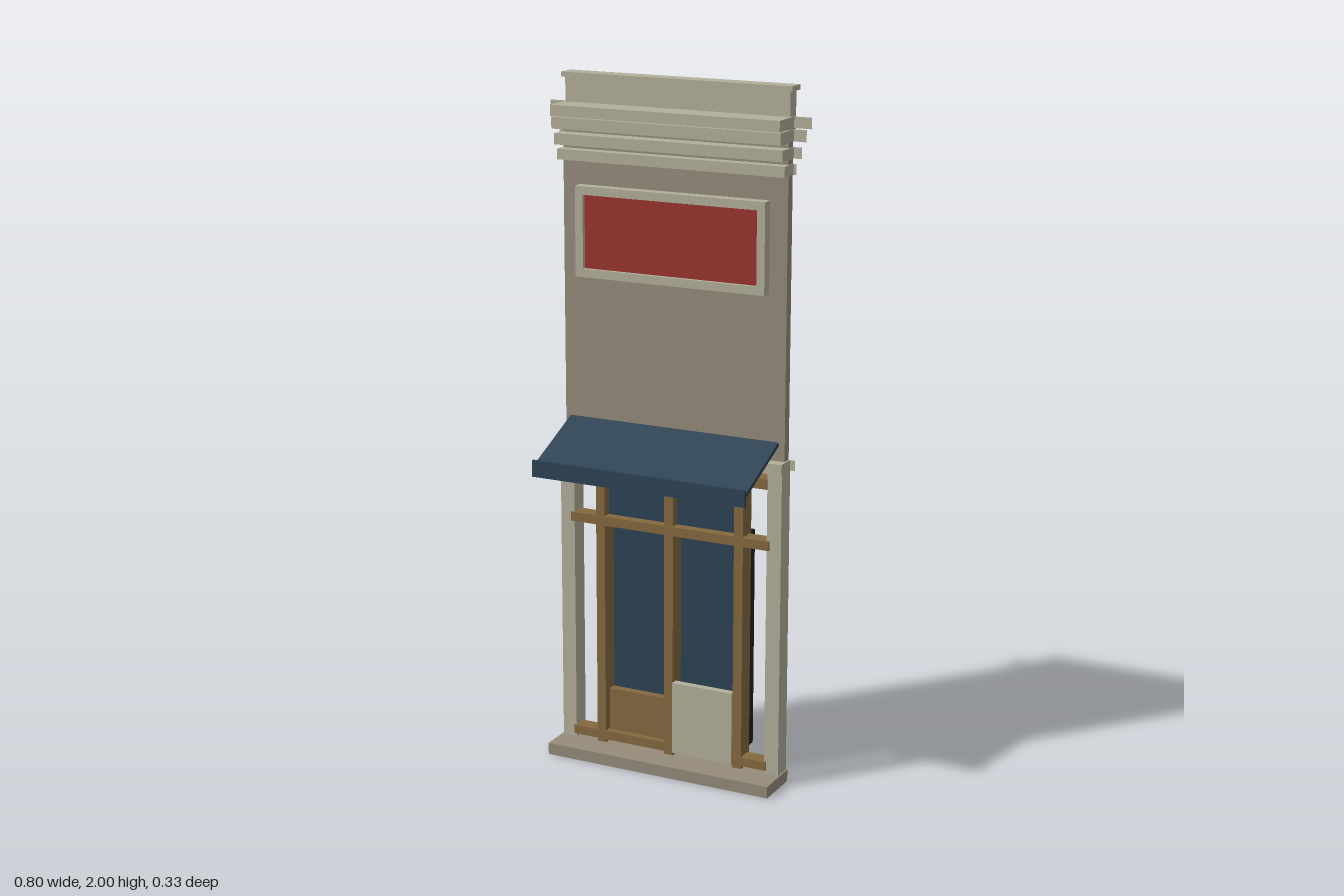
import * as THREE from 'three';

const mat = (name, color) => {
  const m = new THREE.MeshStandardMaterial({ color });
  m.name = name;
  return m;
};

export function createModel() {
  const model = new THREE.Group();
  model.name = 'shopfront';
  const cream = mat('cream trim', 0xb3af9b);
  const stone = mat('stone wall', 0x958b7a);
  const wood = mat('brown wood', 0x84693f);
  const blue = mat('dark blue', 0x2c4253);
  const red = mat('sign red', 0x99332d);
  const black = mat('black', 0x212121);
  const creamSheet = mat('cream sheet', 0xb3af9b);
  creamSheet.side = THREE.DoubleSide;

  // Box given by its limits on each axis
  const box = (name, m, x0, x1, y0, y1, z0, z1, parent = model) => {
    const mesh = new THREE.Mesh(new THREE.BoxGeometry(x1 - x0, y1 - y0, z1 - z0), m);
    mesh.position.set((x0 + x1) / 2, (y0 + y1) / 2, (z0 + z1) / 2);
    mesh.name = name;
    parent.add(mesh);
    return mesh;
  };
  const back = -0.093;

  // Moulding: a box in front of the wall, with flat ends projecting at its back
  const moulding = (name, halfBox, halfEnd, y0, y1, z1) => {
    box(name, cream, -halfBox, halfBox, y0, y1, back + 0.001, z1);
    for (const s of [-1, 1]) {
      const w = halfEnd - halfBox;
      const end = new THREE.Mesh(new THREE.PlaneGeometry(w, y1 - y0), creamSheet);
      end.position.set(s * (halfBox + w / 2), (y0 + y1) / 2, back + 0.002);
      end.name = name + 'End';
      model.add(end);
    }
  };

  // Sill, upper wall and parapet
  box('sill', stone, -0.355, 0.355, 0, 0.035, back, 0.046);
  box('upperWall', stone, -0.345, 0.345, 0.95, 1.89, back, -0.065);
  box('parapet', cream, -0.343, 0.343, 1.88, 1.986, -0.114, -0.076);
  box('parapetCap', cream, -0.352, 0.352, 1.986, 2, -0.12, -0.068);

  // Stepped cornice and the band above the shop window
  [
    [0.4, 1.886, 1.917, 0.003],
    [0.385, 1.85, 1.883, -0.003],
    [0.372, 1.804, 1.835, -0.018],
    [0.357, 1.76, 1.79, -0.033],
  ].forEach(([end, y0, y1, z]) => moulding('cornice', 0.348, end, y0, y1, z));
  moulding('lintel', 0.35, 0.365, 0.932, 0.962, -0.033);

  // Sign with raised frame
  box('signPanel', red, -0.27, 0.27, 1.454, 1.666, -0.066, -0.045);
  for (const s of [-1, 1]) {
    box('signFrameSide', cream, s * 0.28 - 0.012, s * 0.28 + 0.012, 1.432, 1.69, -0.066, -0.033);
    const y = 1.561 + s * 0.117;
    box('signFrameRail', cream, -0.268, 0.268, y - 0.012, y + 0.012, -0.066, -0.033);
  }

  // Sloping awning with hanging front edge
  const dz = 0.222, dy = -0.097;
  const awning = new THREE.Mesh(new THREE.BoxGeometry(0.655, 0.012, Math.hypot(dz, dy)), blue);
  awning.position.set(0, 1.012 + dy / 2, -0.063 + dz / 2);
  awning.rotation.x = Math.atan2(-dy, dz);
  awning.name = 'awning';
  model.add(awning);
  box('awningValance', blue, -0.33, 0.33, 0.89, 0.938, 0.154, 0.163);

  // Pilasters and window posts
  for (const s of [-1, 1]) {
    box('pilaster', cream, s * 0.328 - 0.022, s * 0.328 + 0.022, 0.035, 0.932, back, -0.038);
    box('windowPost', wood, s * 0.22 - 0.014, s * 0.22 + 0.014, 0.035, 0.9, -0.09, -0.036);
  }
  box('centrePost', wood, -0.014, 0.014, 0.035, 0.9, -0.088, -0.036);

  // Horizontal rails
  box('topRail', wood, -0.306, 0.306, 0.885, 0.915, -0.085, -0.034);
  box('transomRail', wood, -0.315, 0.315, 0.708, 0.735, -0.08, -0.032);
  box('bottomRail', wood, -0.312, 0.312, 0.045, 0.072, -0.08, -0.034);

  // Glass above and in the doors, with the dark boards behind
  for (const s of [-1, 1]) {
    const c = s * 0.11;
    box('transomGlass', blue, c - 0.097, c + 0.097, 0.735, 0.885, -0.07, -0.062);
    box('doorGlass', blue, c - 0.098, c + 0.098, 0.075, 0.702, -0.1, -0.092);
    box('backBoard', black, c - 0.101, c + 0.101, 0.066, 0.72, -0.166, -0.141);
  }

  // Lower panels of the bays
  box('woodPanel', wood, -0.203, -0.014, 0.072, 0.2, -0.08, -0.055);
  box('creamPanel', cream, 0.014, 0.204, 0.045, 0.262, -0.055, -0.033);
  return model;
}
